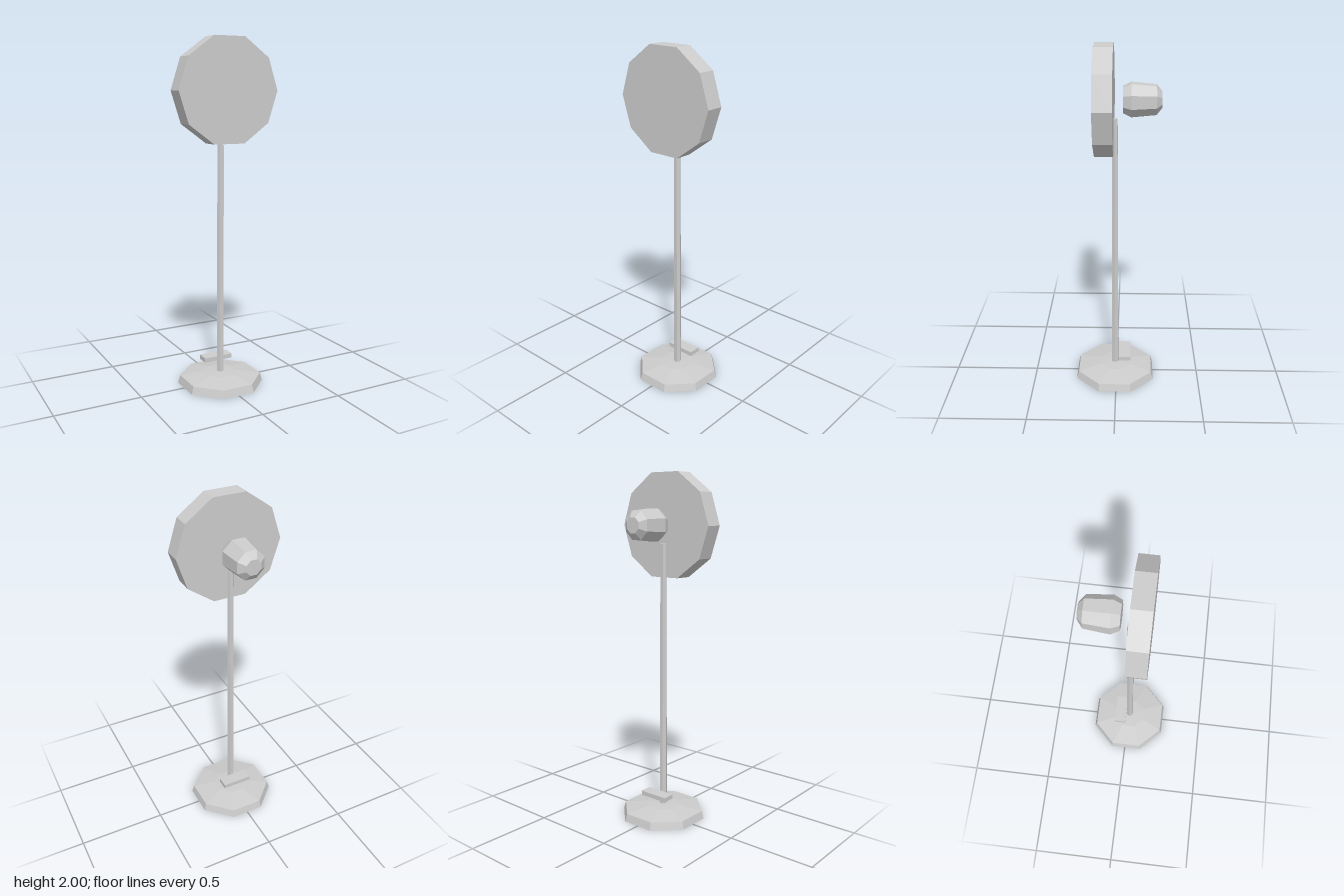
import * as THREE from 'three';

const grey = new THREE.MeshStandardMaterial({ color: 0xcccccc });
grey.name = 'grey';

// Splits all faces so that every facet is shaded flat
function facet(geometry) {
  const flat = geometry.index ? geometry.toNonIndexed() : geometry;
  flat.computeVertexNormals();
  return flat;
}

// Faceted solid of revolution from [radius, height] pairs, listed bottom to top
function turned(profile, sides, start) {
  const points = profile.map(([r, h]) => new THREE.Vector2(r, h));
  return new THREE.LatheGeometry(points, sides, start);
}

export function createModel() {
  const group = new THREE.Group();
  const add = (name, geometry, x, y, z) => {
    const mesh = new THREE.Mesh(facet(geometry), grey);
    mesh.name = name;
    mesh.position.set(x, y, z);
    group.add(mesh);
  };

  // Octagonal foot with a bevelled rim and a shallow domed top
  const foot = [[0, 0], [0.252, 0], [0.239, 0.045], [0.1, 0.066], [0, 0.07]];
  add('base', turned(foot, 8, Math.PI / 8), 0, 0, 0.008);

  // Slim hexagonal pole, slightly tapered
  const pole = [[0, 0.05], [0.023, 0.05], [0.018, 1.61], [0, 1.61]];
  add('pole', turned(pole, 6, Math.PI / 2), 0, 0, 0.009);

  // Control bar behind the pole, just above the foot
  add('controlBar', new THREE.BoxGeometry(0.178, 0.026, 0.072), 0, 0.137, -0.05);

  // Ten-sided fan cage facing the front
  const cage = new THREE.CylinderGeometry(0.304, 0.304, 0.104, 10, 1, false, Math.PI / 2);
  add('fanCage', cage.rotateX(Math.PI / 2), 0, 1.711, 0.068);

  // Motor housing: octagonal barrel tapering to the back
  const motor = [[0, -0.245], [0.045, -0.245], [0.083, -0.215], [0.096, -0.08], [0.074, -0.035], [0, -0.035]];
  add('motorHousing', turned(motor, 8, Math.PI / 8).rotateX(Math.PI / 2), 0, 1.714, 0);

  return group;
}
